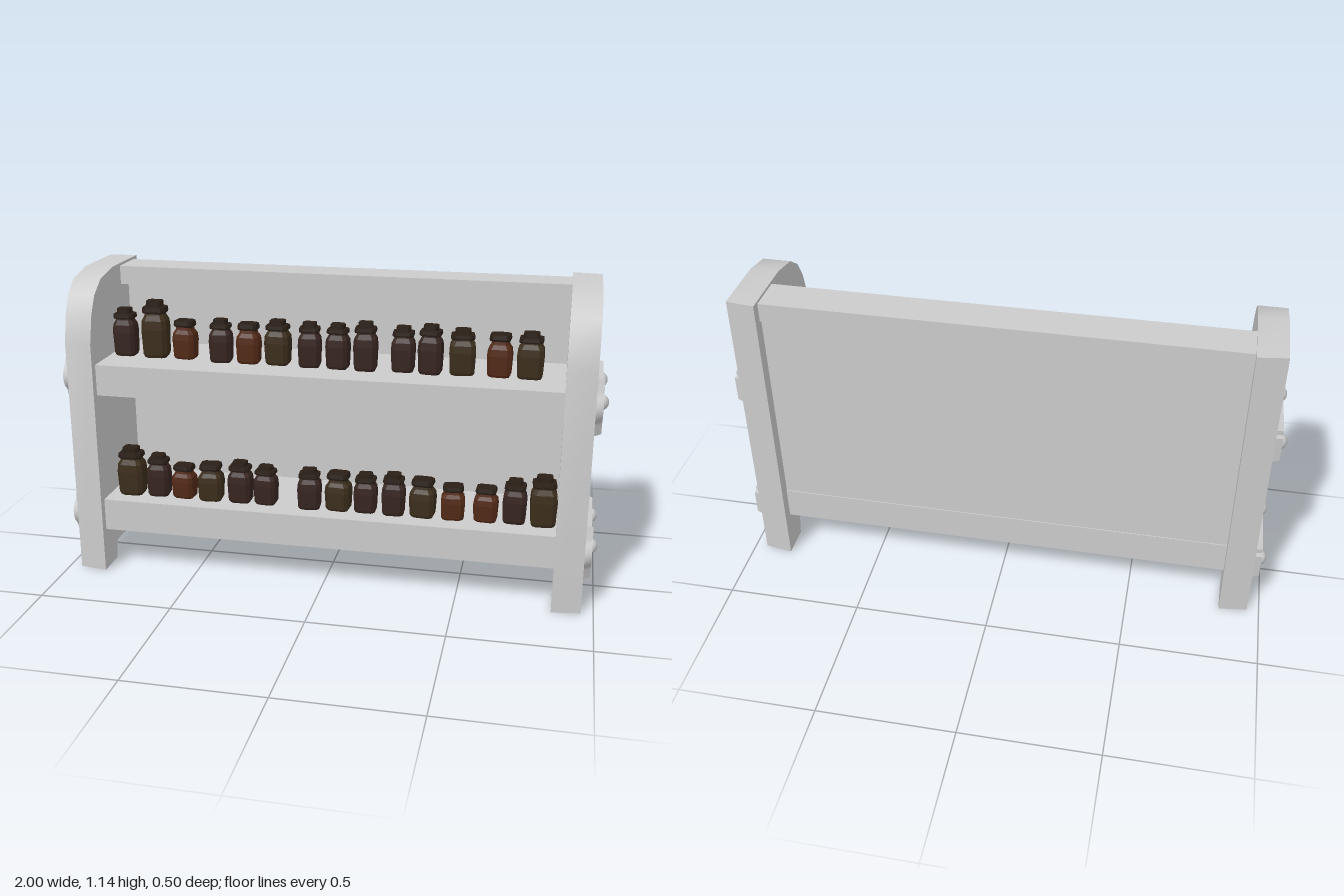
import * as THREE from 'three';
import { toCreasedNormals } from 'three/addons/utils/BufferGeometryUtils.js';

const material = (color, flatShading = false) => new THREE.MeshStandardMaterial({ color, flatShading });
const wood = material(0xcccccc);
const capMaterial = material(0x2a1f17, true);
const glass = { D: material(0x372520, true), O: material(0x3c2e1c, true), R: material(0x532a17, true) };

function add(parent, name, geometry, mat = wood) {
  const mesh = new THREE.Mesh(geometry, mat);
  mesh.name = name;
  parent.add(mesh);
  return mesh;
}

// Board spanning between the side panels
function board(parent, name, y0, y1, z0, z1) {
  const mesh = add(parent, name, new THREE.BoxGeometry(1.72, y1 - y0, z1 - z0));
  mesh.position.set(0, (y0 + y1) / 2, (z0 + z1) / 2);
}

// Extrudes a (z, y) outline outward from x = side * inner, narrowing the outer face by a rule
function sideExtrude(outline, depth, side, inner, narrow) {
  const shape = new THREE.Shape(outline.map(([z, y]) => new THREE.Vector2(z, y)));
  const geometry = new THREE.ExtrudeGeometry(shape, { depth, bevelEnabled: false });
  const p = geometry.attributes.position;
  for (let i = 0; i < p.count; i++) {
    const c = p.getZ(i) / depth;
    const out = side > 0 ? 1 - c : c;
    const [z, y] = narrow(p.getX(i), p.getY(i), out);
    p.setXYZ(i, side * (inner + out * depth), y, z);
  }
  return toCreasedNormals(geometry, 0.55);
}

const panelOutline = [
  [-0.25, 0], [-0.132, 0], [-0.118, 0.07], [0.12, 0.07], [0.133, 0], [0.25, 0], [0.25, 0.9],
  [0.222, 1.005], [0.185, 1.07], [0.12, 1.117], [0, 1.14], [-0.25, 1.14],
];
const strapOutline = [
  [-0.226, -0.052], [-0.205, -0.052], [-0.205, -0.065], [0.07, -0.051], [0.115, -0.058],
  [0.15, -0.076], [0.182, -0.105], [0.197, -0.062], [0.202, -0.05], [0.217, -0.037], [0.229, -0.012],
  [0.229, 0.012], [0.217, 0.037], [0.202, 0.05], [0.197, 0.062], [0.182, 0.105],
  [0.15, 0.076], [0.115, 0.058], [0.07, 0.051], [-0.205, 0.067], [-0.205, 0.049], [-0.226, 0.049],
];

// Lathe turned into a rectangular bottle with chamfered corners
function bottleGeometry(profile, width, height) {
  const points = profile.map(([r, y]) => new THREE.Vector2(r * width / 2, y * height));
  const geometry = new THREE.LatheGeometry(points, 8);
  geometry.rotateY(Math.PI / 8);
  const p = geometry.attributes.position;
  for (let i = 0; i < p.count; i++) {
    const x = p.getX(i), z = p.getZ(i);
    const wide = Math.abs(x) > Math.abs(z);
    p.setX(i, x * (wide ? 1.08 : 1.75));
    p.setZ(i, z * (wide ? 1.75 : 1.08) * 0.83);
  }
  geometry.computeVertexNormals();
  return geometry;
}

const bodyProfile = [[0, 0], [0.82, 0], [0.93, 0.06], [1, 0.5], [0.94, 0.66], [0.72, 0.76], [0.66, 0.85], [0, 0.85]];
const tallCap = [[0, 0.79], [0.86, 0.79], [0.9, 0.82], [0.86, 0.89], [0.6, 0.9], [0.58, 1], [0, 1]];
const flatCap = [[0, 0.84], [0.8, 0.84], [0.86, 0.89], [0.8, 0.99], [0.7, 1], [0, 1]];

// Jars: x, width, height, z, glass tint
const upperJars = [
  [-0.79, 0.086, 0.18, 0.05, 'D'], [-0.67, 0.098, 0.214, 0.05, 'O'], [-0.555, 0.086, 0.145, 0.05, 'R'],
  [-0.41, 0.084, 0.16, 0.07, 'D'], [-0.305, 0.086, 0.15, 0.065, 'R'], [-0.195, 0.092, 0.165, 0.06, 'O'],
  [-0.073, 0.084, 0.165, 0.07, 'D'], [0.032, 0.084, 0.165, 0.07, 'D'], [0.135, 0.086, 0.178, 0.075, 'D'],
  [0.27, 0.086, 0.165, 0.06, 'D'], [0.37, 0.086, 0.178, 0.07, 'D'], [0.482, 0.095, 0.165, 0.055, 'O'],
  [0.615, 0.088, 0.155, 0.055, 'R'], [0.723, 0.095, 0.165, 0.055, 'O'],
];
const lowerJars = [
  [-0.767, 0.1, 0.188, 0.125, 'O'], [-0.66, 0.086, 0.165, 0.12, 'D'], [-0.558, 0.088, 0.13, 0.12, 'R'],
  [-0.45, 0.094, 0.145, 0.125, 'O'], [-0.335, 0.09, 0.16, 0.12, 'D'], [-0.235, 0.086, 0.15, 0.12, 'D'],
  [-0.064, 0.088, 0.155, 0.13, 'D'], [0.045, 0.094, 0.145, 0.12, 'O'], [0.148, 0.086, 0.15, 0.12, 'D'],
  [0.254, 0.086, 0.16, 0.125, 'D'], [0.362, 0.094, 0.145, 0.12, 'O'], [0.473, 0.088, 0.13, 0.12, 'R'],
  [0.593, 0.088, 0.13, 0.115, 'R'], [0.697, 0.086, 0.165, 0.11, 'D'], [0.8, 0.096, 0.188, 0.115, 'O'],
];

function jarRow(parent, name, jars, shelfTop) {
  const row = new THREE.Group();
  row.name = name;
  jars.forEach(([x, width, height, z, tint], i) => {
    const jar = new THREE.Group();
    jar.name = 'jar';
    add(jar, 'jarBody', bottleGeometry(bodyProfile, width, height), glass[tint]);
    const cap = height > 0.155 || tint === 'D' ? tallCap : flatCap;
    add(jar, 'jarCap', bottleGeometry(cap, width, height), capMaterial);
    jar.position.set(x, shelfTop, z);
    jar.rotation.y = 0.1 * Math.sin(i * 2.4);
    row.add(jar);
  });
  parent.add(row);
}

export function createModel() {
  const model = new THREE.Group();
  model.name = 'jarRack';

  // Shelves, top rail and back
  board(model, 'lowerShelf', 0.16, 0.283, -0.207, 0.22);
  board(model, 'upperShelf', 0.7, 0.817, -0.19, 0.22);
  board(model, 'topRail', 1.06, 1.13, -0.215, -0.073);
  board(model, 'backPanel', 0.19, 1.07, -0.203, -0.15);

  for (const side of [-1, 1]) {
    const end = new THREE.Group();
    end.name = side > 0 ? 'leftEnd' : 'rightEnd';
    model.add(end);

    // Side panel with tapered edges and a notch between its feet
    add(end, 'sidePanel', sideExtrude(panelOutline, 0.105, side, 0.85,
      (z, y, out) => [Math.abs(z) > 0.15 ? z * (1 - 0.06 * out) : z, y]));

    // Metal straps with domed bolts
    for (const y of [0.215, 0.76]) {
      const strap = add(end, 'strap', sideExtrude(strapOutline, 0.027, side, 0.953,
        (z, dy, out) => [z * (1 - 0.04 * out), dy * (1 - 0.07 * out)]));
      strap.position.y = y;
      for (const z of [0.117, -0.168]) {
        const dome = new THREE.SphereGeometry(0.029, 8, 4, 0, Math.PI * 2, 0, Math.PI / 2);
        dome.scale(1, 0.83, 1);
        dome.rotateZ(-side * Math.PI / 2);
        add(end, 'bolt', dome).position.set(side * 0.976, y, z);
      }
    }
  }

  jarRow(model, 'upperJars', upperJars, 0.817);
  jarRow(model, 'lowerJars', lowerJars, 0.283);
  return model;
}
